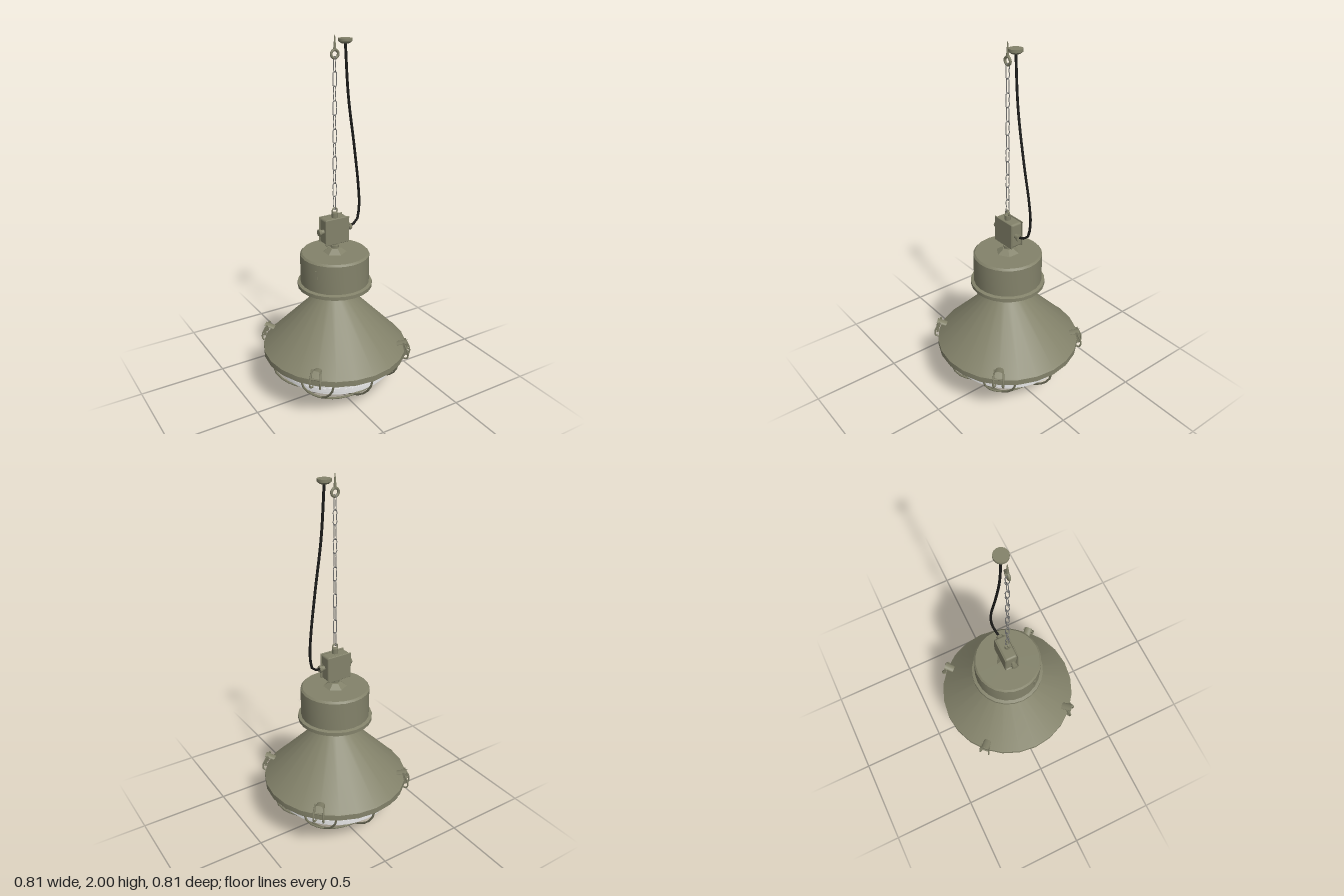
import * as THREE from 'three';
import { toCreasedNormals } from 'three/addons/utils/BufferGeometryUtils.js';
import { RoundedBoxGeometry } from 'three/addons/geometries/RoundedBoxGeometry.js';

export function createModel() {
  const model = new THREE.Group();
  const mat = (name, color, side = THREE.FrontSide) => {
    const m = new THREE.MeshStandardMaterial({ color, side });
    m.name = name;
    return m;
  };
  const olive = mat('olive enamel', 0x83826a, THREE.DoubleSide);
  const glassGrey = mat('pale glass', 0xf2f2f2, THREE.DoubleSide);
  const steel = mat('chain steel', 0x7c7c7a);
  const black = mat('black rubber', 0x1b1b19);

  const add = (name, geometry, material, x = 0, y = 0, z = 0, parent = model) => {
    const mesh = new THREE.Mesh(geometry, material);
    mesh.name = name;
    mesh.position.set(x, y, z);
    parent.add(mesh);
    return mesh;
  };
  const v3 = (p) => new THREE.Vector3(...p);
  const lathe = (pts, sides = 24) => toCreasedNormals(
    new THREE.LatheGeometry(pts.map(([r, y]) => new THREE.Vector2(r, y)), sides), 0.5);
  const wire = (pts, radius, steps, sides = 6, closed = false) => new THREE.TubeGeometry(
    new THREE.CatmullRomCurve3(pts.map(v3), closed), steps, radius, sides, closed);

  // Conical shade with rim and neck
  add('shade', lathe([[0.35, 0.275], [0.375, 0.27], [0.405, 0.27], [0.405, 0.302], [0.395, 0.31],
    [0.093, 0.62], [0.093, 0.705]]), olive);

  // Gear housing, grooved underneath
  add('housing', lathe([[0.09, 0.70], [0.12, 0.70], [0.12, 0.685], [0.14, 0.685], [0.14, 0.70],
    [0.165, 0.70], [0.165, 0.68], [0.185, 0.68], [0.185, 0.67], [0.205, 0.67], [0.205, 0.69],
    [0.188, 0.695], [0.188, 0.855], [0.178, 0.865], [0, 0.865]]), olive);
  const tag = add('housingPlate', new THREE.BoxGeometry(0.012, 0.05, 0.008), olive, -0.166, 0.797, 0.088);
  tag.rotation.y = Math.atan2(-0.166, 0.088);

  // Ribbed glass bowl: stepped upper part, smooth bottom
  const bowlR = (y) => 0.365 * Math.pow(Math.max(0, 1 - ((0.27 - y) / 0.218) ** 1.85), 1 / 1.85);
  const bowl = [];
  for (const y of [0.052, 0.056, 0.068, 0.085, 0.105, 0.125, 0.14]) bowl.push([bowlR(y), y]);
  for (let i = 0; i < 9; i++) {
    const y = 0.145 + i * 0.0145;
    bowl.push([bowlR(y) + 0.005, y], [bowlR(y) + 0.005, y + 0.008], [bowlR(y + 0.008) - 0.002, y + 0.0085]);
  }
  bowl.push([0.365, 0.28]);
  add('glassBowl', lathe(bowl, 32), glassGrey);

  // Wire guard: crossing wires that follow a rounded, slightly pointed bowl
  const guard = new THREE.Group();
  guard.name = 'wireGuard';
  model.add(guard);
  const R = 0.39;
  const guardY = (r) => 0.27 - 0.263 * Math.pow(Math.max(0, 1 - (r / R) ** 1.68), 1 / 1.68);
  for (const offset of [-0.206, 0, 0.206]) {
    const half = Math.sqrt(R * R - offset * offset);
    const pts = [];
    for (let i = 0; i <= 12; i++) {
      const x = half * Math.sin(-Math.PI / 2 + i * Math.PI / 12);
      pts.push([x, guardY(Math.hypot(x, offset)), offset]);
    }
    for (const turn of [0, Math.PI / 2]) {
      add('guardWire', wire(pts, 0.006, 18), olive, 0, 0, 0, guard).rotation.y = turn;
    }
  }

  // Four spring clips on the rim; local +z points outward
  for (let i = 0; i < 4; i++) {
    const clip = new THREE.Group();
    clip.name = 'clip';
    clip.rotation.y = Math.PI / 4 + i * Math.PI / 2;
    model.add(clip);
    const lever = add('clipLever',
      new THREE.CylinderGeometry(0.022, 0.022, 0.075, 10, 1, true, -Math.PI / 2, Math.PI),
      olive, 0, 0.345, 0.38, clip);
    lever.scale.z = 0.5;
    lever.rotation.x = -Math.PI / 2 - 0.3;
    for (const s of [-1, 1]) {
      const arm = add('clipArm', new THREE.BoxGeometry(0.006, 0.07, 0.012), olive,
        s * 0.025, 0.33, 0.406, clip);
      arm.rotation.x = -0.25;
      add('clipWire', wire([[s * 0.025, 0.35, 0.405], [s * 0.028, 0.30, 0.426],
        [s * 0.026, 0.268, 0.422], [s * 0.018, 0.262, 0.4]], 0.005, 10), olive, 0, 0, 0, clip);
    }
    add('clipPin', new THREE.CylinderGeometry(0.005, 0.005, 0.06, 6), olive, 0, 0.315, 0.415, clip)
      .rotation.z = Math.PI / 2;
  }

  // Hexagonal collar and stem under the junction box
  add('collar', toCreasedNormals(new THREE.CylinderGeometry(0.03, 0.065, 0.025, 6), 0.5), olive, 0, 0.877, 0);
  add('stem', new THREE.CylinderGeometry(0.016, 0.016, 0.05, 10), olive, 0, 0.905, 0);
  add('stemNut', new THREE.CylinderGeometry(0.024, 0.024, 0.014, 6), olive, 0, 0.898, 0);

  // Junction box with front and back covers and cable glands
  add('junctionBox', new RoundedBoxGeometry(0.138, 0.14, 0.07, 2, 0.012), olive, 0, 0.992, -0.008);
  add('boxCover', new RoundedBoxGeometry(0.146, 0.146, 0.008, 2, 0.004), olive, 0, 0.992, 0.028);
  add('boxBack', new RoundedBoxGeometry(0.144, 0.144, 0.006, 2, 0.003), olive, 0, 0.992, -0.043);
  for (const s of [-1, 1]) {
    const gland = add('cableGland', new THREE.CylinderGeometry(0.013, 0.013, 0.035, 10), olive, s * 0.083, 0.992, 0);
    const nut = add('glandNut', new THREE.CylinderGeometry(0.019, 0.019, 0.014, 6), olive, s * 0.093, 0.992, 0);
    gland.rotation.z = nut.rotation.z = Math.PI / 2;
  }
  add('topNut', new THREE.CylinderGeometry(0.017, 0.017, 0.028, 8), olive, 0, 1.075, 0);
  add('topEye', new THREE.TorusGeometry(0.015, 0.0045, 6, 14), olive, 0, 1.1, 0);

  // Chain of alternating links
  const w = 0.009, h = 0.032;
  const linkGeometry = wire([[-w, -h, 0], [0, -h - 0.006, 0], [w, -h, 0], [w, 0, 0],
    [w, h, 0], [0, h + 0.006, 0], [-w, h, 0], [-w, 0, 0]], 0.0025, 24, 5, true);
  for (let i = 0; i < 11; i++) {
    add('chainLink', linkGeometry, steel, 0, 1.143 + i * 0.0718, 0).rotation.y = i % 2 ? 0 : Math.PI / 2;
  }

  // Ceiling eye screw
  add('eyeRing', new THREE.TorusGeometry(0.02, 0.007, 8, 18), olive, 0, 1.91, 0);
  add('eyeShank', new THREE.CylinderGeometry(0.002, 0.008, 0.068, 8), olive, 0, 1.966, 0);

  // Power cable and ceiling rose
  add('cable', wire([[0.06, 1.968, 0], [0.08, 1.7, 0], [0.122, 1.43, -0.005], [0.158, 1.2, -0.016],
    [0.165, 1.09, -0.018], [0.145, 1.01, -0.012], [0.09, 0.992, 0]], 0.007, 28, 6), black);
  add('ceilingRose', lathe([[0, 1.958], [0.022, 1.958], [0.036, 1.968], [0.036, 1.982], [0, 1.982]], 18),
    olive, 0.06, 0, 0);

  return model;
}
